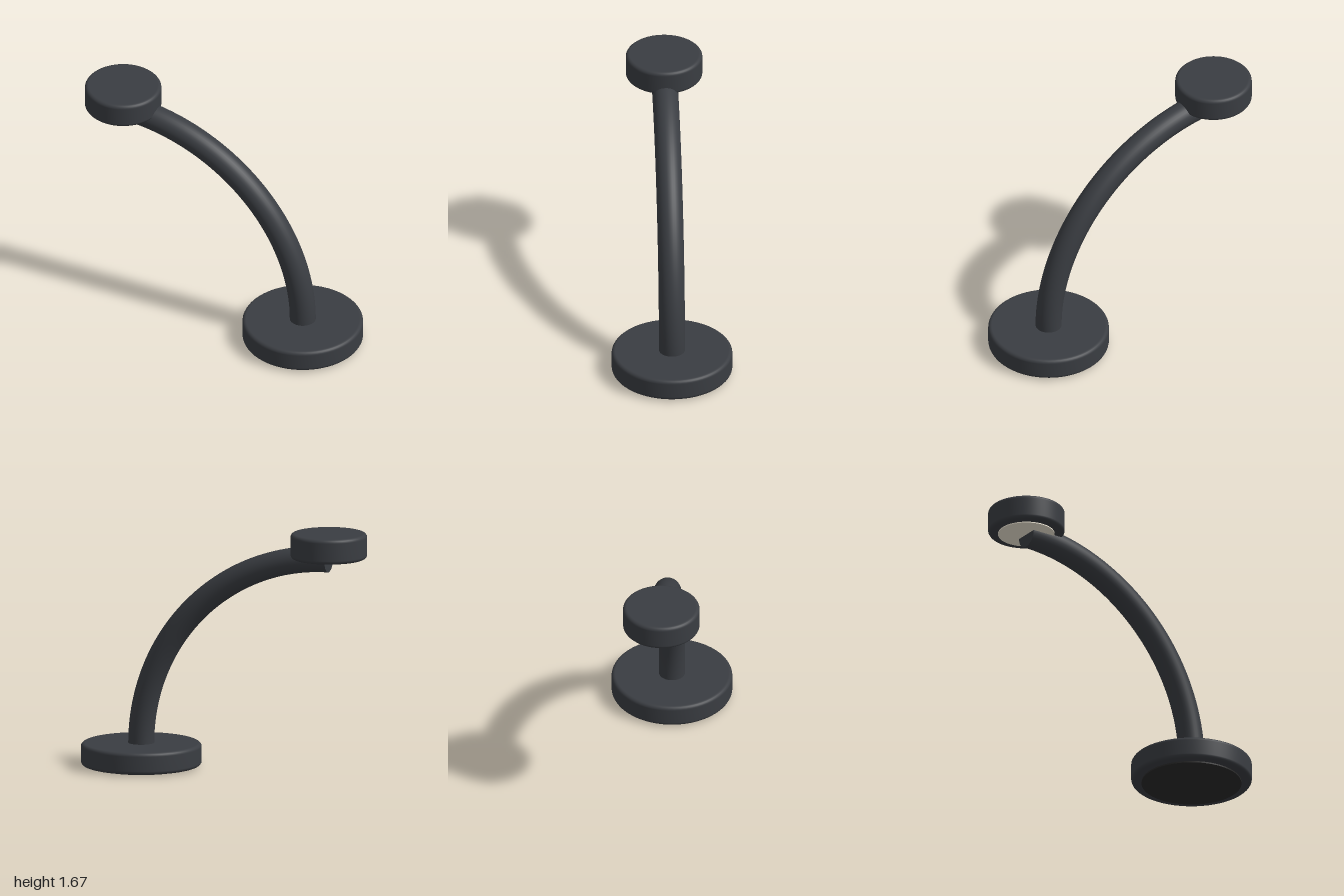
import * as THREE from 'three';

const BASE_X = 0.59, HEAD_X = -0.745, ARM_Y = 0.157;

// Round puck with softened rims
function puck(name, radius, y0, y1, bevel, material) {
  const pts = [new THREE.Vector2(0, y0)];
  for (let i = 0; i <= 5; i++) {
    const a = (i / 5) * Math.PI / 2;
    pts.push(new THREE.Vector2(radius - bevel + bevel * Math.sin(a), y0 + bevel - bevel * Math.cos(a)));
  }
  for (let i = 0; i <= 5; i++) {
    const a = (i / 5) * Math.PI / 2;
    pts.push(new THREE.Vector2(radius - bevel + bevel * Math.cos(a), y1 - bevel + bevel * Math.sin(a)));
  }
  pts.push(new THREE.Vector2(0, y1));
  const mesh = new THREE.Mesh(new THREE.LatheGeometry(pts, 64), material);
  mesh.name = name;
  return mesh;
}

// Thin flat disc
function disc(name, radius, y0, y1, material) {
  const mesh = new THREE.Mesh(new THREE.CylinderGeometry(radius, radius, y1 - y0, 64), material);
  mesh.position.y = (y0 + y1) / 2;
  mesh.name = name;
  return mesh;
}

export function createModel() {
  const model = new THREE.Group();
  model.name = 'deskLamp';
  const body = new THREE.MeshStandardMaterial({ color: 0x3a3d42 });
  const rubber = new THREE.MeshStandardMaterial({ color: 0x2a2a2a });
  const glow = new THREE.MeshStandardMaterial({ color: 0xf2ead8 });

  // Weighted foot with a rubber pad underneath
  const base = new THREE.Group();
  base.name = 'base';
  base.position.x = BASE_X;
  base.add(puck('baseDisc', 0.405, 0.01, 0.16, 0.025, body));
  base.add(disc('basePad', 0.335, 0, 0.02, rubber));
  model.add(base);

  // Quarter-circle arm, from the foot up to the middle of the head
  const R = BASE_X - HEAD_X, r = 0.0875;
  const arm = new THREE.Group();
  arm.name = 'arm';
  arm.position.set(HEAD_X, ARM_Y, 0);
  const tube = new THREE.Mesh(new THREE.TorusGeometry(R, r, 32, 64, Math.PI / 2), body);
  tube.name = 'armTube';
  const cap = new THREE.Mesh(new THREE.CircleGeometry(r, 32), body);
  cap.name = 'armEndCap';
  cap.position.y = R;
  cap.rotation.y = -Math.PI / 2;
  arm.add(tube, cap);
  model.add(arm);

  // Lamp head with a light diffuser underneath
  const head = new THREE.Group();
  head.name = 'head';
  head.position.x = HEAD_X;
  head.add(puck('headShell', 0.257, 1.5, 1.67, 0.025, body));
  head.add(disc('diffuser', 0.19, 1.493, 1.51, glow));
  model.add(head);

  return model;
}
